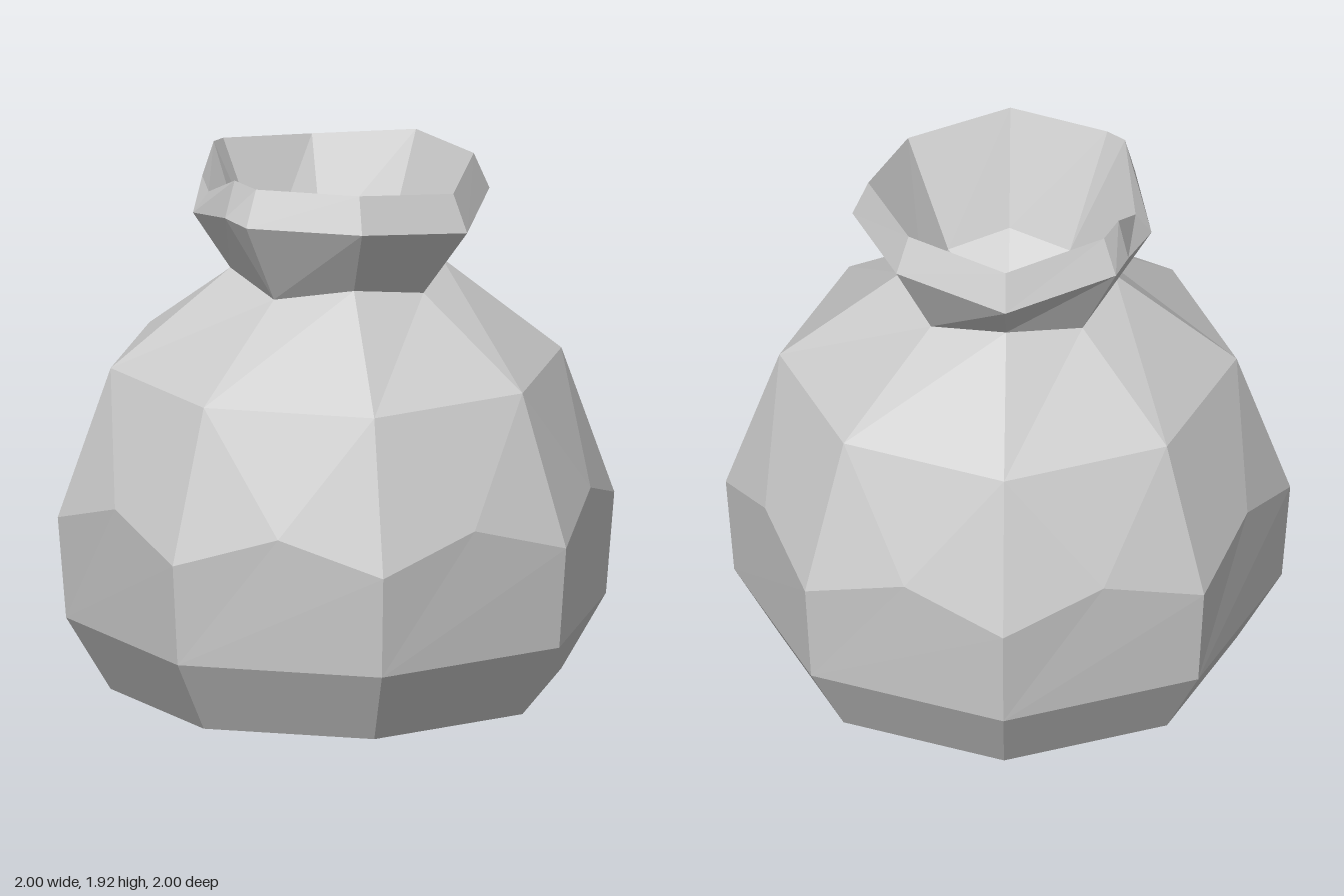
import * as THREE from 'three';

const SIDES = 8;

// Ring of eight points starting at the front (+z) and turning towards +x.
// evenY / oddY allow the ring to rise and fall; turn is in steps of one side.
function ring(radius, evenY, oddY = evenY, turn = 0) {
  return Array.from({ length: SIDES }, (_, i) => {
    const a = ((i + turn) / SIDES) * Math.PI * 2;
    return [radius * Math.sin(a), i % 2 ? oddY : evenY, radius * Math.cos(a)];
  });
}

const same = (p, q) => p.every((v, i) => v === q[i]);
const pick = (points, order) => order.map((i) => points[i]);
const twice = (points) => points.flatMap((p) => [p, p]);

// Joins two rings of equal length; repeated points collapse quads to triangles.
function strip(out, lower, upper) {
  const n = lower.length;
  for (let i = 0; i < n; i++) {
    const j = (i + 1) % n;
    const [a, b, c, d] = [lower[i], lower[j], upper[j], upper[i]];
    for (const tri of [[a, b, c], [a, c, d]]) {
      if (same(tri[0], tri[1]) || same(tri[1], tri[2]) || same(tri[2], tri[0])) continue;
      out.push(...tri.flat());
    }
  }
}

function makeMesh(name, bands) {
  const positions = [];
  bands.forEach(([lower, upper]) => strip(positions, lower, upper));
  const geometry = new THREE.BufferGeometry();
  geometry.setAttribute('position', new THREE.Float32BufferAttribute(positions, 3));
  geometry.computeVertexNormals();
  const material = new THREE.MeshStandardMaterial({
    color: 0xcccccc, flatShading: true, side: THREE.DoubleSide,
  });
  const mesh = new THREE.Mesh(geometry, material);
  mesh.name = name;
  return mesh;
}

export function createModel() {
  const group = new THREE.Group();
  group.name = 'tiedSack';

  // Sack body: flat base, bulging sides with an arched belly line, shoulders
  const centre = (y) => Array(SIDES).fill([0, y, 0]);
  const base = ring(0.81, 0);
  const low = ring(0.97, 0.27);
  const belly = ring(1, 0.64);
  const arches = ring(0.925, 0.76, 0.76, 0.5);
  const bellyLine = belly.flatMap((p, i) => [p, arches[i]]);
  const shoulder = ring(0.81, 1.18);
  const neck = ring(0.38, 1.48, 1.53);
  group.add(makeMesh('sackBody', [
    [centre(0), base],
    [base, low],
    [twice(low), bellyLine],
    [bellyLine, twice(shoulder)],
    [shoulder, neck],
  ]));

  // Gathered mouth: flared collar, lip with a notch at one back corner
  const collar = [
    [0, 1.73, 0.57], [0.39, 1.78, 0.39], [0.55, 1.78, 0], [0.4, 1.73, -0.4], [0, 1.78, -0.55],
    [-0.1, 1.79, -0.51], [-0.34, 1.73, -0.38], [-0.51, 1.79, -0.12], [-0.55, 1.78, 0], [-0.39, 1.78, 0.39],
  ];
  const lip = [
    [0, 1.865, 0.51], [0.35, 1.91, 0.35], [0.49, 1.91, 0], [0.36, 1.865, -0.36], [0, 1.91, -0.49],
    [-0.1, 1.925, -0.46], [-0.3, 1.805, -0.34], [-0.48, 1.925, -0.1], [-0.49, 1.91, 0], [-0.35, 1.91, 0.35],
  ];
  const order = [0, 1, 2, 3, 4, 4, 5, 6, 6, 7];
  group.add(makeMesh('gatheredMouth', [
    [pick(neck, order), collar],
    [collar, lip],
  ]));

  // Inside of the mouth: sloping walls down to a shallow funnel
  const throat = ring(0.305, 1.49, 1.525);
  group.add(makeMesh('mouthInside', [
    [lip, pick(throat, order)],
    [throat, centre(1.32)],
  ]));

  return group;
}
